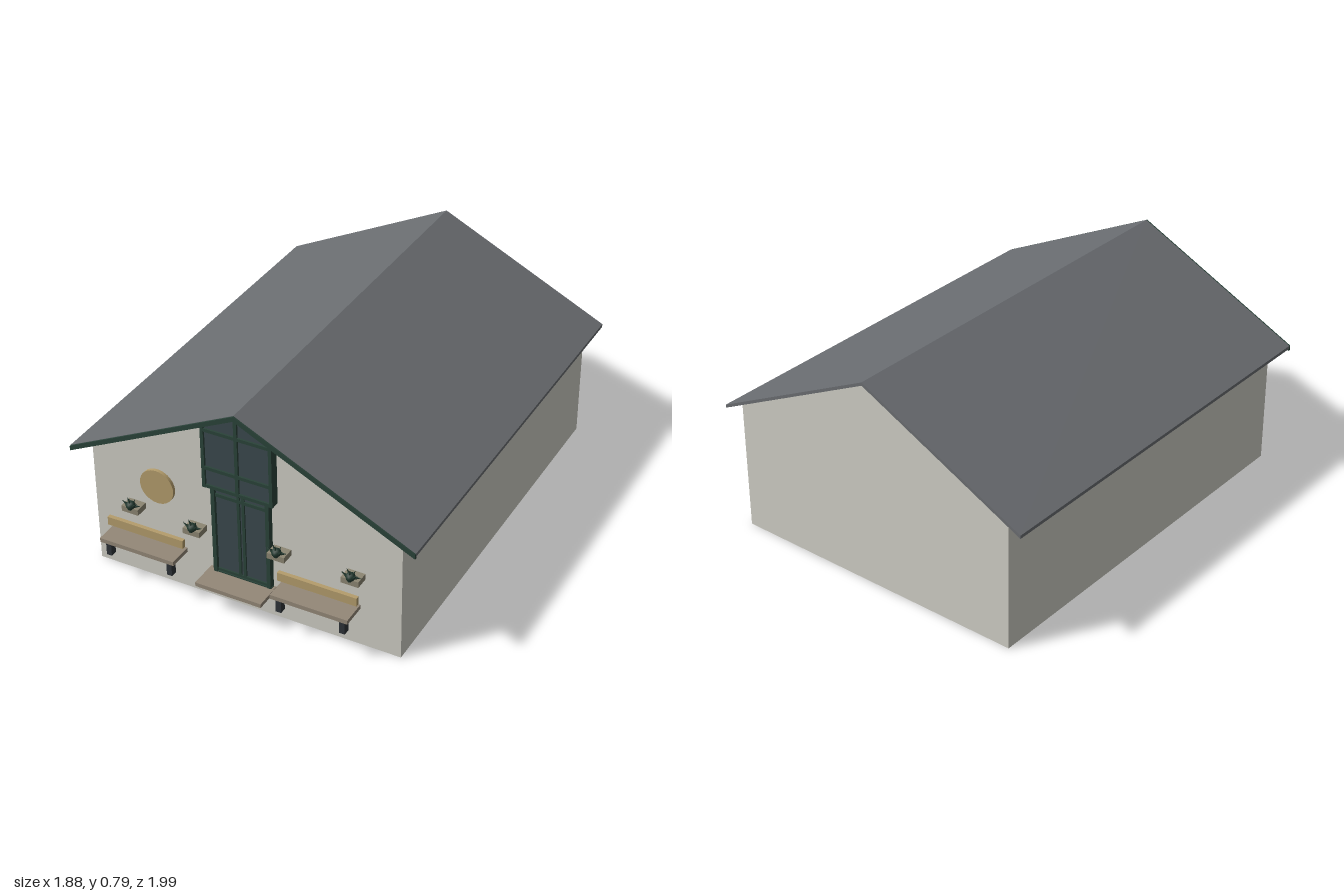
import * as THREE from 'three';

export function createModel() {
  const model = new THREE.Group();
  model.name = 'house';
  const house = new THREE.Group();
  house.name = 'building';
  house.rotation.y = -0.4985; // the building stands at an angle
  model.add(house);

  const mat = (name, color, side = THREE.FrontSide) => {
    const m = new THREE.MeshStandardMaterial({ color, side });
    m.name = name;
    return m;
  };
  const plaster = mat('plaster', 0xcecdc4, THREE.DoubleSide);
  const slate = mat('slate', 0x6a6d71);
  const green = mat('dark green paint', 0x2a4339);
  const glass = mat('glass', 0x3b484d);
  const lightWood = mat('light wood', 0xb49d6c);
  const greyWood = mat('grey wood', 0x948878);
  const iron = mat('iron', 0x2e3338);
  const leaf = mat('leaf', 0x22392f);
  const pot = mat('planter', 0x8c8672);

  const add = (name, geo, material, parent = house) => {
    const m = new THREE.Mesh(geo, material);
    m.name = name;
    parent.add(m);
    return m;
  };
  // Box given by its limits
  const box = (name, material, x0, x1, y0, y1, z0, z1, parent = house) => {
    const m = add(name, new THREE.BoxGeometry(x1 - x0, y1 - y0, z1 - z0), material, parent);
    m.position.set((x0 + x1) / 2, (y0 + y1) / 2, (z0 + z1) / 2);
    return m;
  };
  const shape = (pts) => new THREE.Shape(pts.map(([x, y]) => new THREE.Vector2(x, y)));
  const extrude = (name, material, pts, z0, z1) => {
    const geo = new THREE.ExtrudeGeometry(shape(pts), { depth: z1 - z0, bevelEnabled: false });
    geo.translate(0, 0, z0);
    return add(name, geo, material);
  };

  const RIDGE = 0.785, SLOPE = 0.488, HALF = 0.643, THICK = 0.012;
  const WALL = 0.58, FRONT = 0.74, BACK = -0.766;
  const roofY = (x, drop = 0) => RIDGE - SLOPE * Math.abs(x) - drop;
  const chevron = (d0, d1, w) => [
    [-w, roofY(w, d1)], [0, RIDGE - d1], [w, roofY(w, d1)],
    [w, roofY(w, d0)], [0, RIDGE - d0], [-w, roofY(w, d0)],
  ];

  // Walls, an open shell without a floor
  const wallTop = roofY(WALL, THICK);
  const gable = shape([[-WALL, 0], [WALL, 0], [WALL, wallTop], [0, RIDGE - THICK], [-WALL, wallTop]]);
  add('frontWall', new THREE.ShapeGeometry(gable), plaster).position.z = FRONT;
  const backWall = add('backWall', new THREE.ShapeGeometry(gable), plaster);
  backWall.position.z = BACK;
  backWall.rotation.y = Math.PI;
  for (const s of [-1, 1]) {
    const side = add(s > 0 ? 'leftWall' : 'rightWall', new THREE.PlaneGeometry(FRONT - BACK, wallTop), plaster);
    side.position.set(s * WALL, wallTop / 2, (FRONT + BACK) / 2);
    side.rotation.y = s * Math.PI / 2;
  }

  // Roof with painted boards along the front gable
  extrude('roof', slate, chevron(0, THICK, HALF), -0.785, 0.777);
  extrude('gableBoards', green, chevron(0.001, 0.019, HALF), 0.772, 0.783);

  // Tall window reaching up into the gable
  const W = 0.13;
  extrude('gableWindow', glass, [
    [-W, 0.472], [W, 0.472], [W, roofY(W, THICK)], [0, RIDGE - THICK], [-W, roofY(W, THICK)],
  ], FRONT + 0.002, 0.766);
  for (const x of [-W + 0.005, 0, W - 0.005])
    box('windowPost', green, x - 0.006, x + 0.006, 0.468, roofY(x, 0.016), 0.732, 0.774);
  for (const y of [0.474, 0.545, 0.692])
    box('windowRail', green, -W, W, y - 0.006, y + 0.006, FRONT, 0.773);

  // Double door, its back showing on the inside
  box('doorGlass', glass, -0.105, 0.105, 0.125, 0.466, 0.73, 0.75);
  for (const x of [-0.102, 0.102])
    box('doorJamb', green, x - 0.007, x + 0.007, 0.122, 0.468, 0.726, 0.762);
  for (const x of [-0.009, 0.009])
    box('doorStile', green, x - 0.005, x + 0.005, 0.125, 0.466, FRONT, 0.756);
  for (const y of [0.13, 0.355 + 0.08, 0.464])
    box('doorRail', green, -0.105, 0.105, y - 0.006, y + 0.006, FRONT, 0.756);
  box('doorSill', green, -0.11, 0.11, 0.119, 0.127, 0.722, 0.76);
  box('doorStep', greyWood, -0.131, 0.119, 0.108, 0.123, FRONT, 0.846);

  // Benches on both sides of the door
  for (const [x0, x1] of [[-0.496, -0.207], [0.16, 0.444]]) {
    const bench = new THREE.Group();
    bench.name = 'bench';
    house.add(bench);
    box('benchSeat', greyWood, x0, x1, 0.17, 0.186, 0.765, 0.856, bench);
    box('benchBack', lightWood, x0 - 0.005, x1 + 0.002, 0.202, 0.234, 0.782, 0.797, bench);
    for (const x of [x0 + 0.025, x1 - 0.025])
      box('benchLeg', iron, x - 0.01, x + 0.01, 0.115, 0.17, 0.82, 0.845, bench);
  }

  // Round wall plaque
  const disc = add('roundPlaque', new THREE.CylinderGeometry(0.065, 0.065, 0.012, 40), lightWood);
  disc.rotation.x = Math.PI / 2;
  disc.position.set(-0.325, 0.387, FRONT + 0.006);

  // Wall planters, each with a tuft of leaves
  for (const [x, y] of [[-0.413, 0.274], [-0.174, 0.264], [0.146, 0.274], [0.417, 0.274]]) {
    const planter = new THREE.Group();
    planter.name = 'planter';
    house.add(planter);
    box('planterBox', pot, x - 0.032, x + 0.032, y, y + 0.022, FRONT, 0.79, planter);
    for (let i = 0; i < 7; i++) {
      const a = (i - 3) * 0.42;
      const blade = add('leafBlade', new THREE.ConeGeometry(0.009, 0.042, 5), leaf, planter);
      blade.position.set(x + Math.sin(a) * 0.018, y + 0.022 + Math.cos(a) * 0.015, 0.778 + (i % 2) * 0.01);
      blade.rotation.z = -a;
    }
    const tuft = add('leafTuft', new THREE.IcosahedronGeometry(0.017, 1), leaf, planter);
    tuft.position.set(x, y + 0.028, 0.782);
  }
  return model;
}
